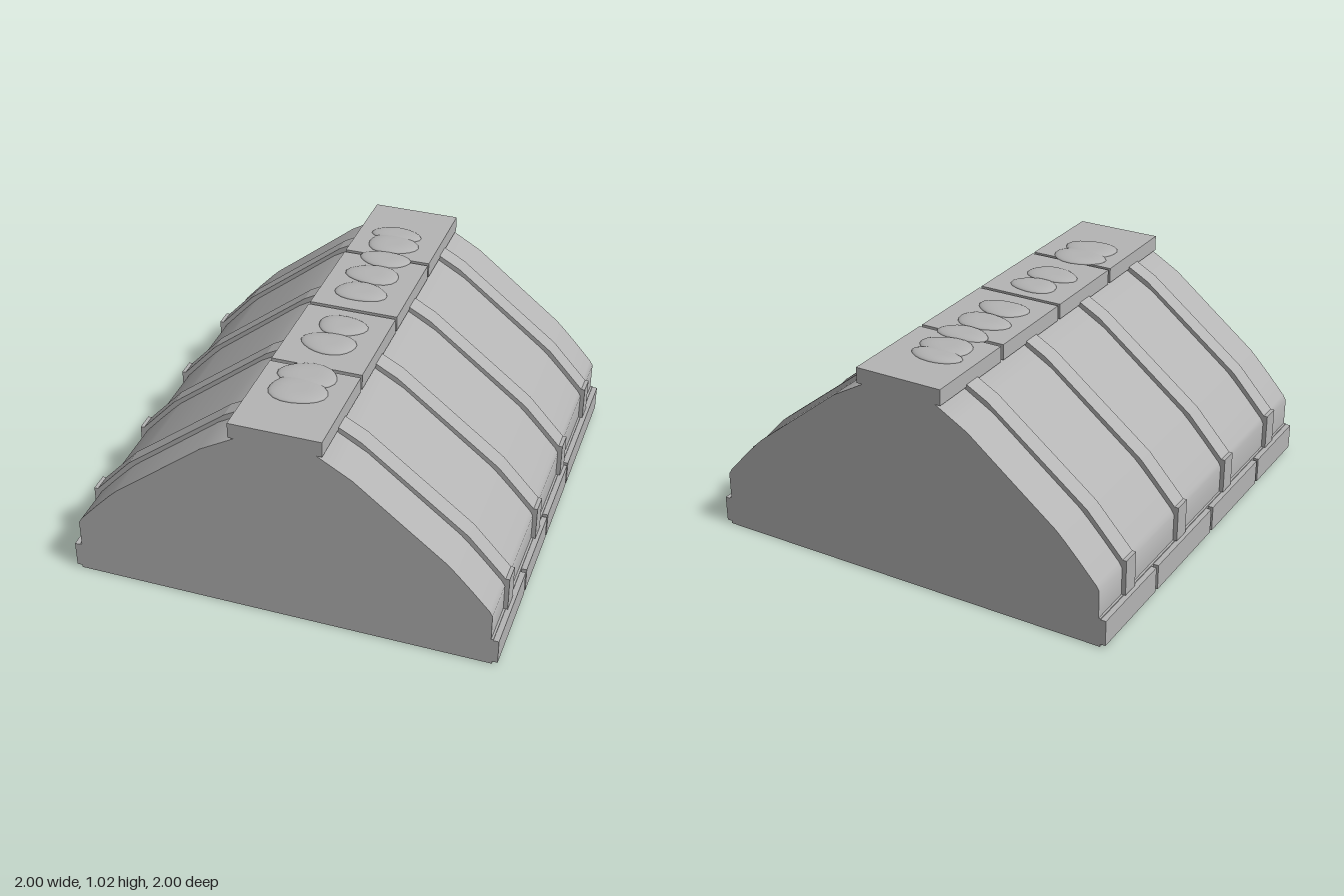
import * as THREE from 'three';
import { toCreasedNormals } from 'three/addons/utils/BufferGeometryUtils.js';

export function createModel() {
  const model = new THREE.Group();
  model.name = 'ridgedRoof';
  const stone = new THREE.MeshStandardMaterial({ color: 0xb4b4b4 });
  stone.name = 'grey stone';

  const add = (geometry, name, x = 0, y = 0, z = 0) => {
    const mesh = new THREE.Mesh(geometry, stone);
    mesh.name = name;
    mesh.position.set(x, y, z);
    model.add(mesh);
    return mesh;
  };
  const extrude = (points, depth) => {
    const shape = new THREE.Shape(points.map(([x, y]) => new THREE.Vector2(x, y)));
    const geometry = new THREE.ExtrudeGeometry(shape, { depth, bevelEnabled: false });
    return geometry.translate(0, 0, -depth / 2);
  };
  const mirror = (points) => points.map(([x, y]) => [-x, y]).reverse();
  // Solid blocks filling z = -1..1 between gaps
  const blocks = (gaps, gapWidth, width, height, name, x, y) => {
    const cuts = [-1 - gapWidth / 2, ...gaps, 1 + gapWidth / 2];
    for (let i = 0; i < cuts.length - 1; i++) {
      const length = cuts[i + 1] - cuts[i] - gapWidth;
      add(new THREE.BoxGeometry(width, height, length), name, x, y, (cuts[i] + cuts[i + 1]) / 2);
    }
  };

  // Roof body, gently curved along its slopes
  const slope = [
    [0.965, 0.14], [0.965, 0.27], [0.95, 0.295], [0.87, 0.385], [0.8, 0.46], [0.76, 0.5],
    [0.54, 0.675], [0.34, 0.835], [0.28, 0.87], [0.18, 0.928],
  ];
  const half = [[0.975, 0], [0.975, 0.14], ...slope];
  add(toCreasedNormals(extrude([...half, ...mirror(half)], 2), 0.85), 'roofBody');

  // Raised ribs down both slopes
  const outer = [[0.985, 0.14], [0.985, 0.31], [0.967, 0.31], [0.795, 0.5], [0.312, 0.88], [0.2, 0.942]];
  const inner = [[0.16, 0.92], [0.29, 0.84], [0.74, 0.47], [0.94, 0.26], [0.94, 0.14]];
  const rib = [...outer, ...inner];
  for (const z of [-0.752, -0.252, 0.248, 0.752]) {
    add(extrude(rib, 0.088), 'leftRib', 0, 0, z);
    add(extrude(mirror(rib), 0.088), 'rightRib', 0, 0, z);
  }

  // Base stones along the eaves
  blocks([-0.31, 0.11, 0.52], 0.02, 0.04, 0.122, 'leftBaseStone', 0.98, 0.074);
  blocks([-0.52, 0.05, 0.58], 0.02, 0.04, 0.122, 'rightBaseStone', -0.98, 0.074);

  // Ridge cap stones
  blocks([-0.505, 0, 0.495], 0.02, 0.42, 0.074, 'ridgeCap', 0, 0.963);

  // Shallow worn lumps on the ridge: [x, z, half width, half length]
  const lumps = [
    [-0.02, -0.735, 0.125, 0.062], [-0.01, -0.635, 0.125, 0.09], [0, -0.485, 0.125, 0.072],
    [-0.01, -0.33, 0.13, 0.085], [-0.015, -0.165, 0.125, 0.082],
    [0, 0.14, 0.115, 0.082], [-0.01, 0.295, 0.128, 0.085],
    [-0.01, 0.56, 0.135, 0.09], [-0.015, 0.68, 0.132, 0.1],
  ];
  lumps.forEach(([x, z, rx, rz], n) => {
    const geometry = new THREE.SphereGeometry(1, 20, 12);
    const p = geometry.attributes.position;
    for (let i = 0; i < p.count; i++) {
      const angle = Math.atan2(p.getZ(i), p.getX(i));
      const wobble = 1 + 0.05 * Math.sin(3 * angle + n * 1.7);
      p.setXYZ(i, p.getX(i) * rx * wobble, Math.min(p.getY(i), 0.85) * 0.018, p.getZ(i) * rz * wobble);
    }
    geometry.computeVertexNormals();
    add(geometry, 'ridgeLump', x, 1, z);
  });

  return model;
}
